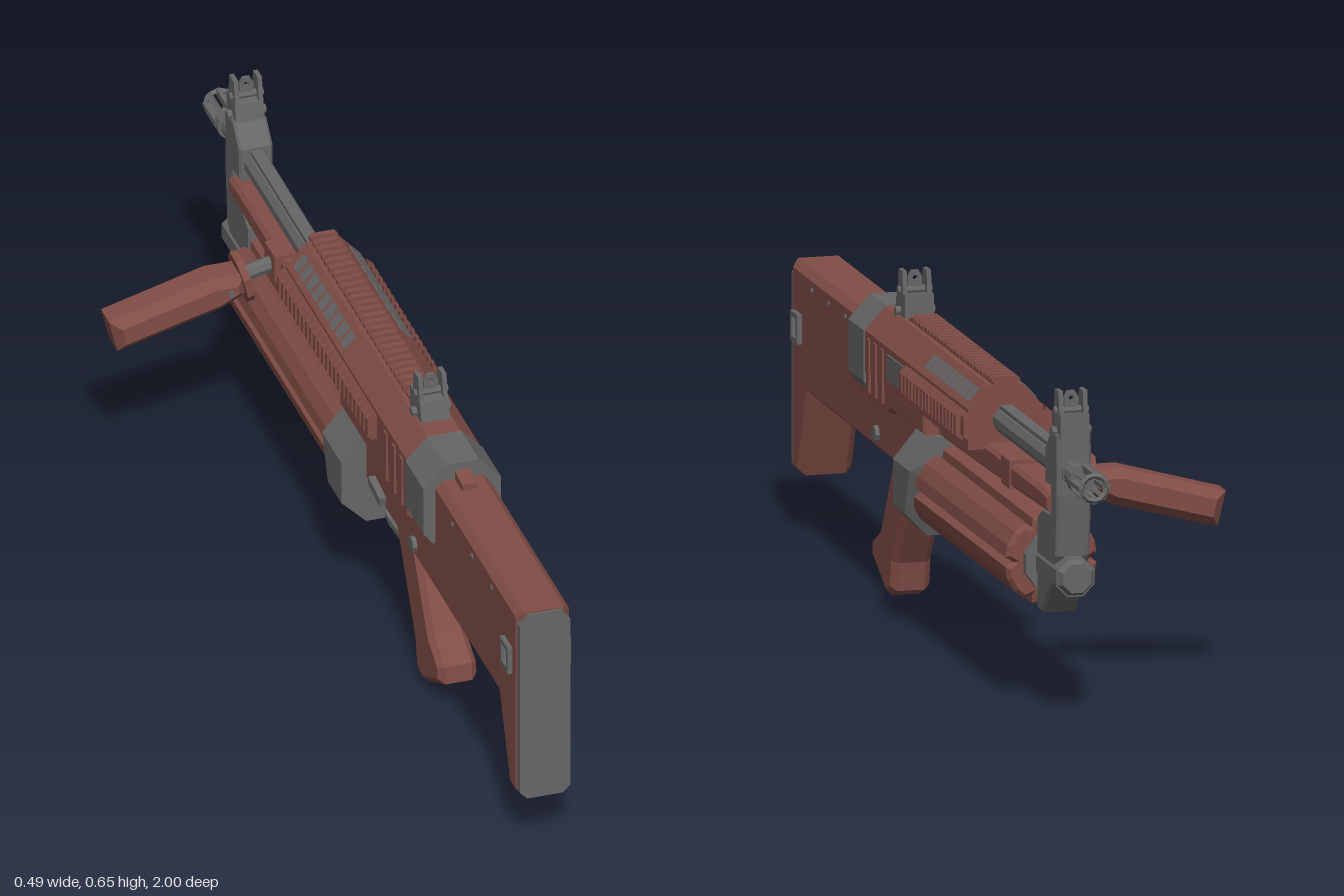
import * as THREE from 'three';

const CX = 0.14; // centre plane of the body

export function createModel() {
  const root = new THREE.Group();
  const body = new THREE.Group();
  body.name = 'body';
  body.position.x = CX;
  root.add(body);

  const red = new THREE.MeshStandardMaterial({ color: 0x814d46, flatShading: true });
  red.name = 'brick red';
  const grey = new THREE.MeshStandardMaterial({ color: 0x666666, flatShading: true });
  grey.name = 'gunmetal grey';

  const add = (name, geo, mat, parent = body) => {
    const m = new THREE.Mesh(geo, mat);
    m.name = name;
    parent.add(m);
    return m;
  };
  // Box given by its limits
  const box = (name, mat, x0, x1, y0, y1, z0, z1) => {
    const m = add(name, new THREE.BoxGeometry(x1 - x0, y1 - y0, Math.abs(z1 - z0)), mat);
    m.position.set((x0 + x1) / 2, (y0 + y1) / 2, (z0 + z1) / 2);
    return m;
  };
  const shapeOf = (pts) => new THREE.Shape(pts.map(([a, b]) => new THREE.Vector2(a, b)));
  const extrude = (shape, depth, bevel) => new THREE.ExtrudeGeometry(shape, {
    depth: depth - 2 * bevel, bevelEnabled: bevel > 0, bevelThickness: bevel,
    bevelSize: bevel, bevelOffset: -bevel, bevelSegments: 1, curveSegments: 8,
  }).translate(0, 0, -(depth - 2 * bevel) / 2);
  // Side profile of [z, y] points, extruded across x
  const side = (name, mat, pts, halfWidth, bevel = 0, x = 0) => {
    const geo = extrude(shapeOf(pts.map(([z, y]) => [-z, y])), halfWidth * 2, bevel);
    return add(name, geo.rotateY(Math.PI / 2).translate(x, 0, 0), mat);
  };
  // Cross-section of [x, y] points, extruded along z
  const section = (name, mat, pts, z0, z1, bevel = 0) =>
    add(name, extrude(shapeOf(pts), Math.abs(z1 - z0), bevel).translate(0, 0, (z0 + z1) / 2), mat);
  // Right-half outline mirrored into a closed cross-section
  const mirror = (half) => [...half, ...half.slice().reverse().map(([x, y]) => [-x, y])];
  // Cylinder along z or x
  const rod = (name, mat, r, len, x, y, z, sides = 12, axis = 'z', r2 = r) => {
    const g = new THREE.CylinderGeometry(r, r2, len, sides);
    if (axis === 'z') g.rotateX(-Math.PI / 2); else g.rotateZ(Math.PI / 2);
    const m = add(name, g, mat);
    m.position.set(x, y, z);
    return m;
  };

  // Stock and lower receiver
  side('stock', red, [[0.995, 0.117], [0.995, 0.532], [0.4, 0.532], [0.4, 0.45], [-0.02, 0.45],
    [-0.02, 0.28], [0.875, 0.285], [0.94, 0.117]], 0.054, 0.014);
  section('buttPlate', grey, mirror([[0.036, 0.115], [0.051, 0.13], [0.051, 0.505], [0.033, 0.529]]), 0.985, 1);
  for (const s of [-1, 1]) {
    // Sling loop
    for (const [y0, y1, z0, z1] of [[0.38, 0.39, 0.915, 0.965], [0.428, 0.438, 0.915, 0.965],
      [0.39, 0.428, 0.915, 0.924], [0.39, 0.428, 0.956, 0.965]])
      box('slingLoop', grey, Math.min(s * 0.05, s * 0.064), Math.max(s * 0.05, s * 0.064), y0, y1, z0, z1);
    // Receiver pins and selector
    rod('pin', grey, 0.016, 0.012, s * 0.057, 0.32, 0.37, 8, 'x');
    const lever = box('selector', grey, -0.008, 0.008, -0.009, 0.009, -0.035, 0.035);
    lever.position.set(s * 0.06, 0.315, 0.16);
    lever.rotation.x = 0.15;
    for (const z of [0.6, 0.72, 0.84]) rod('stockScrew', grey, 0.006, 0.006, s * 0.054, 0.5, z, 6, 'x');
  }

  // Collar between stock and upper receiver
  section('collar', grey, mirror([[0.06, 0.395], [0.078, 0.42], [0.078, 0.52], [0.034, 0.567]]), 0.385, 0.495);
  side('collarTail', red, [[0.54, 0.53], [0.54, 0.545], [0.49, 0.552], [0.49, 0.53]], 0.015);

  // Upper receiver, with a lower skirt
  section('upperReceiver', red, mirror([[0.075, 0.44], [0.075, 0.52], [0.034, 0.565]]), 0.385, -0.355);
  side('receiverSkirt', red, [[0.388, 0.39], [0.388, 0.445], [-0.03, 0.445], [-0.03, 0.4], [0.2, 0.4], [0.22, 0.39]], 0.074, 0.006);
  box('ejectionPort', grey, 0.07, 0.078, 0.458, 0.508, 0.07, 0.22);
  for (const z of [0.25, 0.3, 0.345]) box('sideRib', red, -0.079, 0.079, 0.405, 0.51, z, z + 0.018);

  // Top rail
  box('topRail', red, -0.024, 0.024, 0.56, 0.571, 0.25, -0.355);
  for (let i = 0; i < 25; i++) {
    const z = 0.22 - i * 0.0235;
    section('topRailTooth', red, mirror([[0.028, 0.57], [0.028, 0.577], [0.022, 0.582]]), z, z - 0.013);
  }

  // Side rails and vents
  for (const s of [-1, 1]) {
    const back = s < 0 ? 0.2 : 0.07;
    const rail = (name, x0, x1, z0, z1) => section(name, red,
      [[s * x0, 0.455], [s * x1, 0.467], [s * x1, 0.505], [s * x0, 0.518]], z0, z1);
    rail('sideRail', 0.07, 0.084, back, -0.355);
    for (let z = back; z > -0.345; z -= 0.0245) rail('sideRailTooth', 0.08, 0.094, z, z - 0.013);
    for (let i = 0; i < 9; i++) {
      const vent = box('vent', grey, -0.016, 0.016, -0.003, 0.003, -0.012, 0.012);
      vent.position.set(s * 0.0555, 0.542, -0.03 - i * 0.036);
      vent.rotation.z = -s * 0.84;
    }
  }

  // Forestock under the barrel
  side('forestock', red, [[0, 0.395], [0, 0.452], [-0.76, 0.45], [-0.81, 0.445], [-0.81, 0.41], [-0.4, 0.4]], 0.042, 0.008);

  // Barrel and slotted muzzle
  rod('barrel', grey, 0.026, 0.52, 0, 0.495, -0.6, 10);
  box('barrelRib', grey, -0.012, 0.012, 0.51, 0.525, -0.35, -0.78);
  rod('muzzleBase', grey, 0.024, 0.09, 0, 0.495, -0.885, 12);
  rod('muzzleRing', grey, 0.031, 0.022, 0, 0.495, -0.915, 12);
  for (let i = 0; i < 8; i++) {
    const a = (i / 8) * Math.PI * 2;
    const prong = box('muzzleProng', grey, -0.0045, 0.0045, -0.007, 0.007, -0.04, 0.04);
    prong.position.set(Math.cos(a) * 0.024, 0.495 + Math.sin(a) * 0.024, -0.955);
    prong.rotation.z = a + Math.PI / 2;
  }
  const tip = add('muzzleTip', new THREE.TorusGeometry(0.025, 0.006, 4, 12), grey);
  tip.position.set(0, 0.495, -0.994);

  // Fluted magazine drum
  const flutes = [];
  for (let k = 0; k < 6; k++)
    for (const [d, r] of [[-24, 0.091], [-9, 0.093], [9, 0.093], [24, 0.091], [30, 0.076]]) {
      const a = THREE.MathUtils.degToRad(30 + k * 60 + d);
      flutes.push([Math.cos(a) * r, 0.29 + Math.sin(a) * r]);
    }
  section('magazineDrum', red, flutes, 0.02, -0.69, 0.008);
  rod('drumAxle', grey, 0.06, 0.03, 0, 0.29, -0.695, 10);
  rod('drumCap', grey, 0.041, 0.155, 0, 0.292, -0.78, 8).rotation.z = Math.PI / 8;
  rod('drumCapTip', grey, 0.03, 0.02, 0, 0.292, -0.862, 8, 'z', 0.041).rotation.z = Math.PI / 8;

  // Magazine housing, its lower front edge swept back
  const housing = section('magazineHousing', grey, mirror([[0.055, 0.195], [0.105, 0.245], [0.105, 0.335], [0.052, 0.4]]), 0.075, -0.042);
  const hp = housing.geometry.attributes.position;
  for (let i = 0; i < hp.count; i++)
    if (hp.getZ(i) < 0) hp.setZ(i, -0.042 + Math.max(0, 0.335 - hp.getY(i)) * 0.38);

  // Front bracket carrying barrel and drum
  side('frontBracket', grey, [[-0.76, 0.46], [-0.76, 0.53], [-0.8, 0.572], [-0.85, 0.572], [-0.852, 0.45],
    [-0.84, 0.33], [-0.8, 0.27], [-0.74, 0.2], [-0.705, 0.2], [-0.705, 0.385], [-0.74, 0.405], [-0.8, 0.41], [-0.8, 0.46]], 0.034, 0.005);

  // Sights: base, two ears and an eyelet
  const sight = (name, z0, z1, base) => {
    const mid = (z0 + z1) / 2;
    side(name + 'Base', grey, [[z0, base], [z0 - 0.01, 0.605], [z1, 0.612], [z1, base]], 0.029);
    for (const s of [-1, 1])
      side(name + 'Ear', grey, [[mid + 0.022, 0.6], [mid + 0.012, 0.654], [mid - 0.015, 0.654], [mid - 0.022, 0.6]], 0.0045, 0, s * 0.024);
    const eye = shapeOf([[-0.014, 0.6], [0.014, 0.6], [0.014, 0.64], [0.007, 0.652], [-0.007, 0.652], [-0.014, 0.64]]);
    eye.holes.push(new THREE.Path().absarc(0, 0.638, 0.005, 0, Math.PI * 2, true));
    add(name + 'Eyelet', extrude(eye, 0.008, 0).translate(0, 0, mid), grey);
    rod(name + 'Pivot', grey, 0.008, 0.068, 0, 0.614, mid, 8, 'x');
    rod(name + 'Knob', grey, 0.009, 0.078, 0, 0.574, mid, 8, 'x');
  };
  sight('rearSight', 0.335, 0.265, 0.56);
  sight('frontSight', -0.795, -0.855, 0.56);

  // Pistol grip
  side('pistolGrip', red, [[0.31, 0.295], [0.19, 0.295], [0.205, 0.262], [0.316, 0.075], [0.326, 0.018],
    [0.365, 0.002], [0.475, 0.058], [0.472, 0.095], [0.41, 0.128]], 0.039, 0.012);

  // Trigger and its guard
  const guard = [[0.235, 0.255], [0.225, 0.22], [0.17, 0.197], [0.09, 0.19], [0.06, 0.205]];
  const inner = [[0.06, 0.218], [0.09, 0.203], [0.167, 0.21], [0.214, 0.23], [0.222, 0.255]];
  side('triggerGuard', grey, [...guard, ...inner], 0.016);
  side('trigger', grey, [[0.18, 0.285], [0.172, 0.24], [0.158, 0.218], [0.152, 0.22], [0.16, 0.245], [0.155, 0.285]], 0.007);

  // Side handle, tilted outward on the right
  const handle = new THREE.Group();
  handle.name = 'sideHandle';
  handle.position.z = -0.515;
  root.add(handle);
  add('handleGrip', extrude(shapeOf([[-0.247, 0.373], [-0.23, 0.304], [-0.02, 0.36], [0.03, 0.385],
    [0.025, 0.43], [-0.04, 0.43]]), 0.085, 0.018), red, handle);
  const flange = add('handleFlange', new THREE.CylinderGeometry(0.052, 0.052, 0.015, 8).rotateY(Math.PI / 8).rotateZ(Math.PI / 2), red, handle);
  flange.position.set(0.029, 0.409, 0);
  flange.rotation.z = 0.23;
  const arm = add('handleArm', new THREE.CylinderGeometry(0.016, 0.016, 0.11, 8).rotateZ(Math.PI / 2), grey, handle);
  arm.position.set(0.085, 0.425, 0);
  arm.rotation.z = 0.23;
  const clamp = add('handleClamp', new THREE.BoxGeometry(0.1, 0.055, 0.06), red, handle);
  clamp.position.set(CX - 0.005, 0.43, 0);
  const bolt = add('handleBolt', new THREE.CylinderGeometry(0.007, 0.007, 0.09, 8).rotateX(Math.PI / 2), grey, handle);
  bolt.position.set(-0.005, 0.4, 0);

  return root;
}
